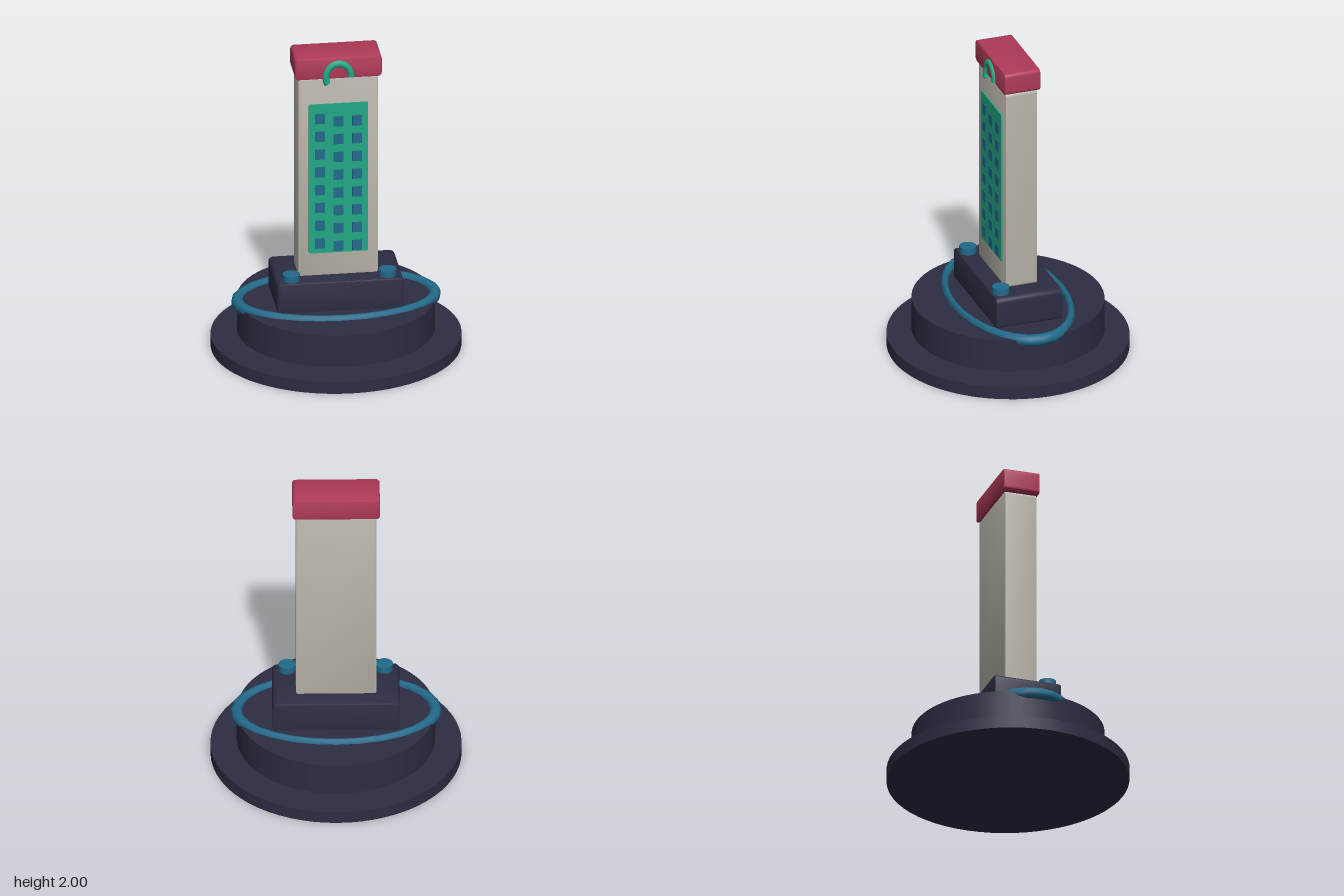
import * as THREE from 'three';
import { toCreasedNormals } from 'three/addons/utils/BufferGeometryUtils.js';

const mat = (name, color) => new THREE.MeshStandardMaterial({ name, color });

// Block with rounded front corners and a small bevel, standing on y0
function block(w, y0, y1, d, r, bevel) {
  const x = w / 2 - bevel, a = y0 + bevel, b = y1 - bevel;
  const s = new THREE.Shape();
  s.moveTo(-x + r, a);
  s.lineTo(x - r, a);
  s.quadraticCurveTo(x, a, x, a + r);
  s.lineTo(x, b - r);
  s.quadraticCurveTo(x, b, x - r, b);
  s.lineTo(-x + r, b);
  s.quadraticCurveTo(-x, b, -x, b - r);
  s.lineTo(-x, a + r);
  s.quadraticCurveTo(-x, a, -x + r, a);
  const depth = d - 2 * bevel;
  const g = new THREE.ExtrudeGeometry(s, {
    depth, bevelEnabled: bevel > 0, bevelSize: bevel, bevelThickness: bevel, bevelSegments: 2, curveSegments: 5,
  });
  g.translate(0, 0, -depth / 2);
  return toCreasedNormals(g, 0.7);
}

export function createModel() {
  const model = new THREE.Group();
  model.name = 'tower';
  const navy = mat('navy', 0x2d2d44);
  const stone = mat('stone', 0xb8b4aa);
  const red = mat('red', 0xb03a58);
  const green = mat('green', 0x22a884);
  const blue = mat('blue', 0x226a8a);

  const add = (name, geometry, material, x = 0, y = 0, z = 0) => {
    const m = new THREE.Mesh(geometry, material);
    m.name = name;
    m.position.set(x, y, z);
    model.add(m);
    return m;
  };

  // Slightly oval base plate and the drum floating above it
  add('basePlate', new THREE.CylinderGeometry(1, 1, 0.08, 64), navy, 0, 0.04, 0).scale.set(0.778, 1, 0.75);
  add('drum', new THREE.CylinderGeometry(1, 1, 0.213, 64), navy, 0, 0.2185, 0).scale.set(0.615, 1, 0.596);

  // Oval ring lying on the drum
  const ring = new THREE.TorusGeometry(0.618, 0.037, 10, 28).rotateX(Math.PI / 2).scale(1, 1, 0.572);
  add('ring', ring, blue, 0, 0.318, 0);

  // Plinth, shaft and cap
  add('plinth', block(0.79, 0.31, 0.523, 0.435, 0.025, 0.01), navy);
  add('shaft', block(0.5, 0.515, 1.855, 0.207, 0.018, 0.006), stone);
  add('cap', block(0.542, 1.858, 2.0, 0.235, 0.018, 0.006), red);

  // Knobs on the front of the plinth
  for (const side of [-1, 1]) {
    add(side > 0 ? 'leftKnob' : 'rightKnob', new THREE.CylinderGeometry(0.054, 0.054, 0.045, 16), blue, side * 0.301, 0.5425, 0.156);
  }

  // Front panel with its grid of windows
  add('panel', block(0.37, 0.675, 1.685, 0.012, 0.01, 0), green, 0, 0, 0.106);
  const pane = new THREE.BoxGeometry(0.062, 0.068, 0.008);
  for (let col = 0; col < 3; col++) {
    for (let row = 0; row < 8; row++) {
      const y = (col === 0 ? 1.588 : 1.565) - row * 0.121;
      add('window', pane, blue, (col - 1) * 0.117, y, 0.112);
    }
  }

  // Hooked arch on the cap, longer on its right side, with closed ends
  const sweep = 3.62, R = 0.079, r = 0.021;
  const arch = new THREE.Group();
  arch.name = 'arch';
  arch.position.set(0, 1.867, 0.114);
  arch.scale.set(1, 1.15, 1);
  const hook = new THREE.Mesh(new THREE.TorusGeometry(R, r, 10, 24, sweep), green);
  hook.name = 'archTube';
  arch.add(hook);
  for (const [angle, turn] of [[0, Math.PI / 2], [sweep, -Math.PI / 2]]) {
    const end = new THREE.CircleGeometry(r, 10).rotateX(turn).rotateZ(angle);
    const m = new THREE.Mesh(end, green);
    m.name = 'archEnd';
    m.position.set(R * Math.cos(angle), R * Math.sin(angle), 0);
    arch.add(m);
  }
  model.add(arch);

  return model;
}
